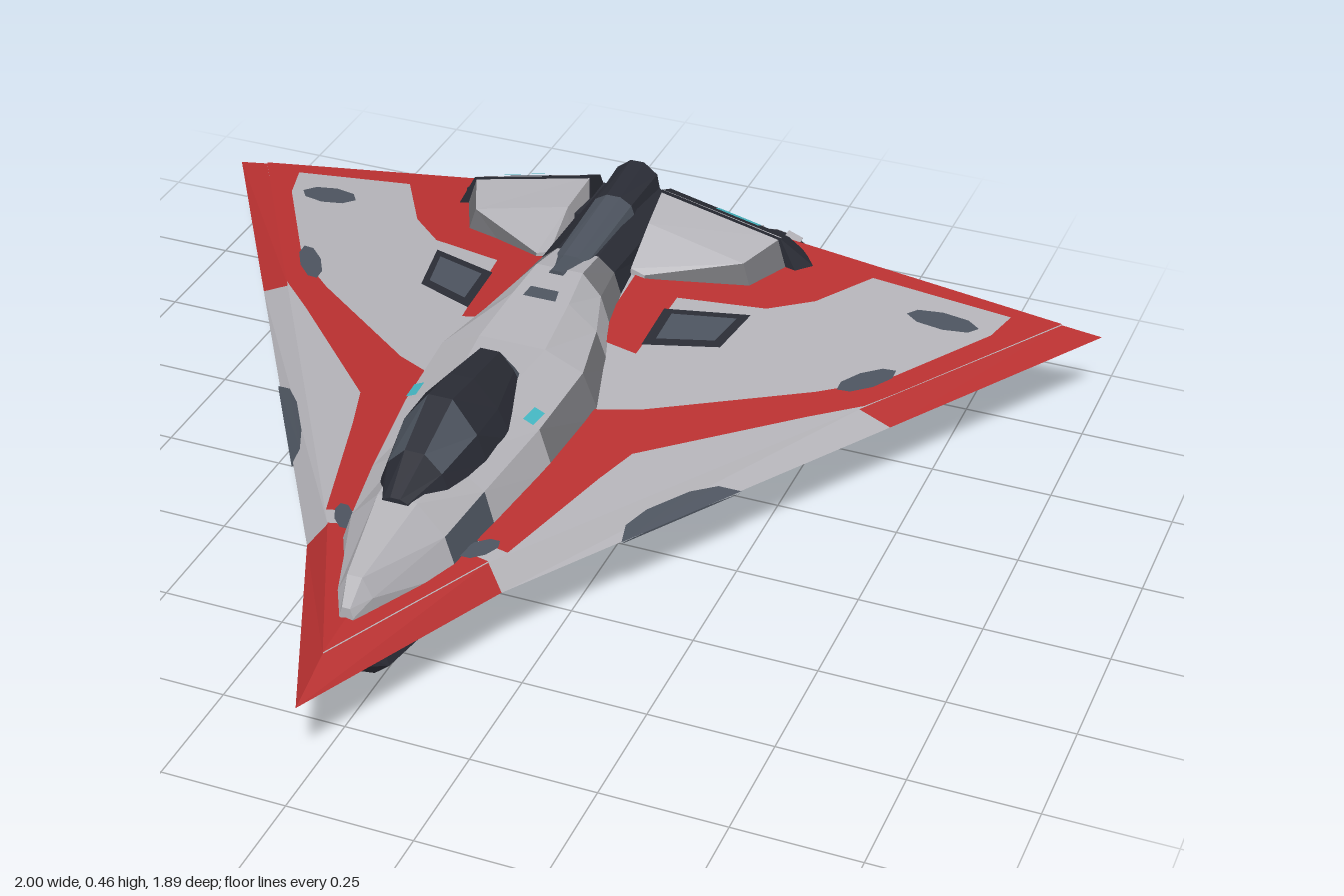
import * as THREE from 'three';

const make = (name, color) => {
  const m = new THREE.MeshStandardMaterial({ color, side: THREE.DoubleSide, flatShading: true });
  m.name = name;
  return m;
};
const light = make('light grey', 0xb3b2b7), mid = make('mid grey', 0x757579);
const red = make('red', 0xb83030), dark = make('charcoal', 0x2a2c35);
const slate = make('slate', 0x4c535e), cyan = make('cyan', 0x45b8c4);

// Planes of the wing skin
const topY = (x, z) => 0.302 - 0.19 * Math.abs(x) - 0.0976 * z;
const lowY = (x, z) => 0.1253 + 0.0524 * Math.abs(x) + 0.0286 * z;

function add(group, name, geometry, material) {
  const mesh = new THREE.Mesh(geometry, material);
  mesh.name = name;
  group.add(mesh);
  return mesh;
}

// Fan of 3D corners; s = -1 mirrors it
function face(group, name, mat, pts, s = 1) {
  const p = pts.map(([x, y, z]) => [x * s, y, z]);
  if (s < 0) p.reverse();
  const v = [];
  for (let i = 1; i < p.length - 1; i++) v.push(...p[0], ...p[i], ...p[i + 1]);
  const g = new THREE.BufferGeometry();
  g.setAttribute('position', new THREE.Float32BufferAttribute(v, 3));
  g.computeVertexNormals();
  return add(group, name, g, mat);
}

// Flat outline in x, z draped over a height rule
function plate(group, name, mat, pts, s, height, lift = 0) {
  const g = new THREE.ShapeGeometry(new THREE.Shape(pts.map(([x, z]) => new THREE.Vector2(x * s, -z))));
  g.rotateX(-Math.PI / 2);
  const p = g.attributes.position;
  for (let i = 0; i < p.count; i++) p.setY(i, height(p.getX(i), p.getZ(i)) + lift);
  if (height === lowY) {
    const a = g.index.array;
    for (let i = 0; i < a.length; i += 3) [a[i], a[i + 1]] = [a[i + 1], a[i]];
  }
  g.computeVertexNormals();
  return add(group, name, g, mat);
}

// Capped skin through sections [z, points counter-clockwise]; paint(segment, edge) picks the colour
function loft(group, name, sections, paint, s = 1) {
  const rings = sections.map(([z, pts]) => {
    const r = pts.map(([x, y]) => [x * s, y, z]);
    return s < 0 ? r.reverse() : r;
  });
  const n = rings[0].length, bins = new Map();
  const tri = (m, a, b, c) => {
    if (!bins.has(m)) bins.set(m, []);
    bins.get(m).push(...a, ...b, ...c);
  };
  for (let i = 0; i < rings.length - 1; i++)
    for (let j = 0; j < n; j++) {
      const k = (j + 1) % n, A = rings[i], B = rings[i + 1];
      const m = paint(i, s < 0 ? (2 * n - 2 - j) % n : j);
      tri(m, A[j], B[j], A[k]);
      tri(m, A[k], B[j], B[k]);
    }
  const F = rings[0], L = rings[rings.length - 1];
  for (let j = 1; j < n - 1; j++) {
    tri(paint(0, 0), F[0], F[j], F[j + 1]);
    tri(paint(rings.length - 2, 0), L[0], L[j + 1], L[j]);
  }
  const g = new THREE.BufferGeometry(), v = [];
  [...bins.values()].forEach((list, i) => {
    g.addGroup(v.length / 3, list.length / 3, i);
    for (const q of list) v.push(q);
  });
  g.setAttribute('position', new THREE.Float32BufferAttribute(v, 3));
  g.computeVertexNormals();
  return add(group, name, g, [...bins.keys()]);
}
// Closes a right-hand half section (bottom to top) into a full one
const sym = (list) => list.map(([z, ...h]) => [z, [...h, ...h.map(([x, y]) => [-x, y]).reverse()]]);
const oval = (x, z, a, b, rot) => Array.from({ length: 8 }, (_, i) => {
  const t = i * Math.PI / 4, u = a * Math.cos(t), w = b * Math.sin(t);
  return [x + u * Math.cos(rot) - w * Math.sin(rot), z + u * Math.sin(rot) + w * Math.cos(rot)];
});

function buildWing(g, s) {
  const skin = [[0, 0.83], [0.165, 0.46], [0.92, -0.82], [0.3, -0.76], [0, -0.76]];
  const under = [[0, 0.83], [0.165, 0.46], [0.92, -0.82], [0.92, -0.85], [0, -0.85]];
  plate(g, 'wingTop', light, skin, s, topY);
  plate(g, 'wingUnderside', light, under, s, lowY);

  // Bevelled leading edge, split by colour along its length
  const outer = (t) => (t < 0 ? [0, 0.18, 0.945] : [0.2 + 0.8 * t, 0.18, 0.48 - 1.33 * t]);
  const inner = (t, height) => {
    const [x, z] = t < 0 ? [0, 0.83] : [0.165 + 0.755 * t, 0.46 - 1.28 * t];
    return [x, height(x, z), z];
  };
  for (const [t0, t1, mat] of [[-1, 0, red], [0, 0.62, light], [0.62, 1, red]]) {
    face(g, 'leadingEdgeTop', mat, [outer(t0), outer(t1), inner(t1, topY), inner(t0, topY)], s);
    face(g, 'leadingEdgeBottom', mat, [outer(t1), outer(t0), inner(t0, lowY), inner(t1, lowY)], s);
  }
  // Slate patch wrapped round the edge
  for (const [height, dy] of [[topY, 0.002], [lowY, -0.002]]) {
    const at = (t, k) => {
      const o = outer(t), i = inner(t, height);
      return o.map((c, n) => c + (i[n] - c) * k + [0.003, dy, 0.002][n]);
    };
    const pts = [at(0.18, 0), at(0.37, 0), at(0.35, 0.45), at(0.31, 0.65), at(0.24, 0.65), at(0.2, 0.45)];
    face(g, 'edgeWrap', slate, dy > 0 ? pts : pts.reverse(), s);
  }
  // Sloping trailing edge
  face(g, 'trailingEdge', red, [[0.92, lowY(0.92, -0.85), -0.85], [0.3, lowY(0.3, -0.85), -0.85],
    [0.3, topY(0.3, -0.76), -0.76], [0.92, topY(0.92, -0.82), -0.82]], s);
  face(g, 'wingTip', red, [[1, 0.18, -0.85], [0.92, lowY(0.92, -0.85), -0.85], [0.92, topY(0.92, -0.82), -0.82]], s);
  face(g, 'wingTipUnderside', red, [[1, 0.18, -0.85], [0.92, lowY(0.92, -0.82), -0.82], [0.92, lowY(0.92, -0.85), -0.85]], s);

  // Painted bands
  const band = [[0.92, -0.82], [0.68, -0.41], [0.64, -0.345], [0.55, -0.25], [0.29, 0.04], [0.26, 0.14], [0.187, 0.42],
    [0.1, 0.42], [0.14, 0.1], [0.18, -0.04], [0.26, -0.09], [0.54, -0.33], [0.65, -0.44], [0.8, -0.7], [0.82, -0.78]];
  const nose = [[0, 0.83], [0.165, 0.46], [0, 0.46]];
  const rear = [[0.92, -0.82], [0.82, -0.78], [0.53, -0.74], [0.45, -0.6], [0.37, -0.52], [0.2, -0.45], [0.19, -0.24],
    [0.1, -0.24], [0.1, -0.74], [0.3, -0.76]];
  for (const [name, pts] of [['redBand', band], ['redNose', nose], ['redRear', rear]]) {
    plate(g, name, red, pts, s, topY, 0.003);
    plate(g, name + 'Below', red, pts, s, lowY, -0.003);
  }
  plate(g, 'redTrailBelow', red, [[0.92, -0.815], [0.92, -0.85], [0.3, -0.85], [0.3, -0.755]], s, lowY, -0.003);

  // Slate patches and vents
  plate(g, 'patch', slate, oval(0.7, -0.685, 0.075, 0.028, -0.25), s, topY, 0.005);
  plate(g, 'edgePatch', slate, oval(0.62, -0.42, 0.075, 0.022, -0.95), s, topY, 0.005);
  plate(g, 'nosePatch', slate, oval(0.14, 0.44, 0.045, 0.018, -1), s, topY, 0.006);
  plate(g, 'ventFrame', dark, [[0.19, -0.4], [0.35, -0.48], [0.33, -0.35], [0.19, -0.27]], s, topY, 0.005);
  plate(g, 'vent', slate, [[0.21, -0.39], [0.33, -0.45], [0.315, -0.36], [0.21, -0.3]], s, topY, 0.008);
}

function buildEngine(g, s) {
  // Light cover ahead of the engine, with a grey border
  loft(g, 'engineCover', [
    [-0.47, [[0.08, 0.25], [0.13, 0.25], [0.12, 0.335], [0.09, 0.345]]],
    [-0.57, [[0.08, 0.25], [0.33, 0.25], [0.3, 0.35], [0.09, 0.4]]],
    [-0.68, [[0.08, 0.25], [0.38, 0.25], [0.345, 0.364], [0.08, 0.422]]],
  ], (i, j) => (j === 1 ? mid : light), s);
  // Dark faceted housing
  loft(g, 'engineHousing', [
    [-0.67, [[0.08, 0.1], [0.38, 0.12], [0.39, 0.28], [0.345, 0.367], [0.08, 0.426]]],
    [-0.73, [[0.07, 0.06], [0.4, 0.1], [0.45, 0.25], [0.345, 0.34], [0.08, 0.399]]],
    [-0.8, [[0.07, 0.05], [0.41, 0.1], [0.46, 0.2], [0.37, 0.265], [0.08, 0.29]]],
    [-0.86, [[0.1, 0.07], [0.34, 0.09], [0.38, 0.16], [0.32, 0.22], [0.11, 0.235]]],
  ], (i, j) => (j === 3 && i === 1 ? slate : dark), s);
  loft(g, 'lowerNacelle', [
    [-0.47, [[0.08, 0.06], [0.3, 0.06], [0.36, 0.13], [0.08, 0.13]]],
    [-0.5, [[0.075, 0.03], [0.33, 0.025], [0.38, 0.13], [0.08, 0.13]]],
    [-0.85, [[0.075, 0.005], [0.34, 0.015], [0.38, 0.12], [0.08, 0.12]]],
    [-0.915, [[0.13, 0], [0.33, 0.01], [0.35, 0.06], [0.14, 0.06]]],
  ], () => dark, s);
  // Light strip on the housing
  const y = (x, z) => 0.431 - 0.2226 * (x - 0.08) + 0.45 * (z + 0.67);
  face(g, 'lightStrip', cyan, [[0.195, -0.69], [0.29, -0.69], [0.29, -0.711], [0.195, -0.711]]
    .map(([x, z]) => [x, y(x, z), z]), s);

  // Thruster barrel, stripes, lip and glow
  const t = new THREE.Group();
  t.name = 'thruster';
  t.position.set(0.25 * s, 0.127, -0.76);
  t.scale.y = 0.9;
  g.add(t);
  const profile = [[0.1, 0], [0.116, 0.06], [0.116, 0.165], [0.11, 0.185], [0.088, 0.185], [0.083, 0.165]];
  add(t, 'barrel', new THREE.LatheGeometry(profile.map((p) => new THREE.Vector2(...p)), 16).rotateX(-Math.PI / 2), dark);
  add(t, 'lip', new THREE.RingGeometry(0.088, 0.11, 16).rotateY(Math.PI), light).position.z = -0.187;
  add(t, 'glow', new THREE.CircleGeometry(0.086, 16).rotateY(Math.PI), cyan).position.z = -0.17;
  for (let i = 0; i < 8; i++) {
    const a = (i + 0.5) * Math.PI / 4;
    const stripe = add(t, 'barrelStripe', new THREE.BoxGeometry(0.008, 0.036, 0.1), light);
    stripe.position.set(0.115 * Math.cos(a), 0.115 * Math.sin(a), -0.132);
    stripe.rotation.z = a;
  }
}

export function createModel() {
  const g = new THREE.Group();
  g.name = 'deltaFighter';

  // Upper fuselage
  loft(g, 'fuselage', sym([
    [0.73, [0.01, 0.21], [0.014, 0.235], [0.008, 0.255]],
    [0.69, [0.03, 0.2], [0.035, 0.26], [0.015, 0.3]],
    [0.5, [0.12, 0.215], [0.095, 0.29], [0.04, 0.35]],
    [0.36, [0.14, 0.225], [0.115, 0.31], [0.045, 0.36]],
    [0.15, [0.17, 0.24], [0.14, 0.33], [0.05, 0.37]],
    [-0.05, [0.19, 0.25], [0.15, 0.345], [0.07, 0.38]],
    [-0.2, [0.15, 0.27], [0.12, 0.35], [0.06, 0.4]],
    [-0.3, [0.12, 0.28], [0.09, 0.37], [0.05, 0.415]],
    [-0.4, [0.11, 0.28], [0.08, 0.37], [0.045, 0.4]],
    [-0.74, [0.1, 0.28], [0.085, 0.36], [0.04, 0.4]],
  ]), (i, j) => {
    if (i === 8) return dark;
    if (j === 0 || j === 4) return i === 2 ? slate : i === 4 || i === 5 || i === 7 ? mid : light;
    return i === 7 && j !== 2 ? mid : light;
  });
  face(g, 'spinePatch', slate, [[0.035, 0.405, -0.19], [0.03, 0.411, -0.22], [-0.03, 0.411, -0.22], [-0.035, 0.405, -0.19]]);

  loft(g, 'canopy', sym([
    [0.51, [0.035, 0.335], [0.025, 0.35], [0.01, 0.357]],
    [0.42, [0.07, 0.33], [0.055, 0.37], [0.02, 0.405]],
    [0.3, [0.095, 0.33], [0.075, 0.39], [0.025, 0.457]],
    [0.2, [0.105, 0.33], [0.075, 0.39], [0.025, 0.446]],
    [0.06, [0.07, 0.35], [0.05, 0.39], [0.02, 0.425]],
    [0.03, [0.06, 0.36], [0.035, 0.38], [0.015, 0.387]],
  ]), (i, j) => ((i === 1 && (j === 1 || j === 3)) || (i === 4 && j !== 5) ? slate : dark));

  // Dorsal spine and the core between the engines
  loft(g, 'spine', sym([
    [-0.28, [0.02, 0.38], [0.015, 0.414], [0.01, 0.42]],
    [-0.36, [0.045, 0.36], [0.035, 0.403], [0.015, 0.412]],
    [-0.6, [0.06, 0.36], [0.04, 0.415], [0.015, 0.43]],
    [-0.74, [0.07, 0.3], [0.045, 0.42], [0.015, 0.443]],
    [-0.8, [0.07, 0.1], [0.05, 0.18], [0.02, 0.22]],
  ]), (i) => (i < 2 ? slate : dark));
  loft(g, 'aftCore', sym([
    [-0.6, [0.1, 0.06], [0.1, 0.37]], [-0.75, [0.1, 0.06], [0.1, 0.37]], [-0.855, [0.12, 0.06], [0.12, 0.18]],
  ]), () => dark);

  // Belly keel
  loft(g, 'belly', sym([
    [0.73, [0.02, 0.12], [0.04, 0.135], [0.04, 0.155]],
    [0.7, [0.04, 0.1], [0.07, 0.125], [0.06, 0.155]],
    [0.2, [0.06, 0.085], [0.14, 0.11], [0.18, 0.145]],
    [-0.45, [0.07, 0.055], [0.3, 0.1], [0.37, 0.145]],
    [-0.84, [0.07, 0.04], [0.3, 0.09], [0.39, 0.145]],
  ]), () => dark);

  for (const s of [1, -1]) {
    buildWing(g, s);
    buildEngine(g, s);
    // Small light beside the canopy
    const y = (x) => 0.384 - 0.444 * (x - 0.05);
    face(g, 'sideLight', cyan, [[0.112, 0.165], [0.133, 0.165], [0.137, 0.115], [0.116, 0.115]]
      .map(([x, z]) => [x, y(x), z]), s);
  }
  return g;
}
